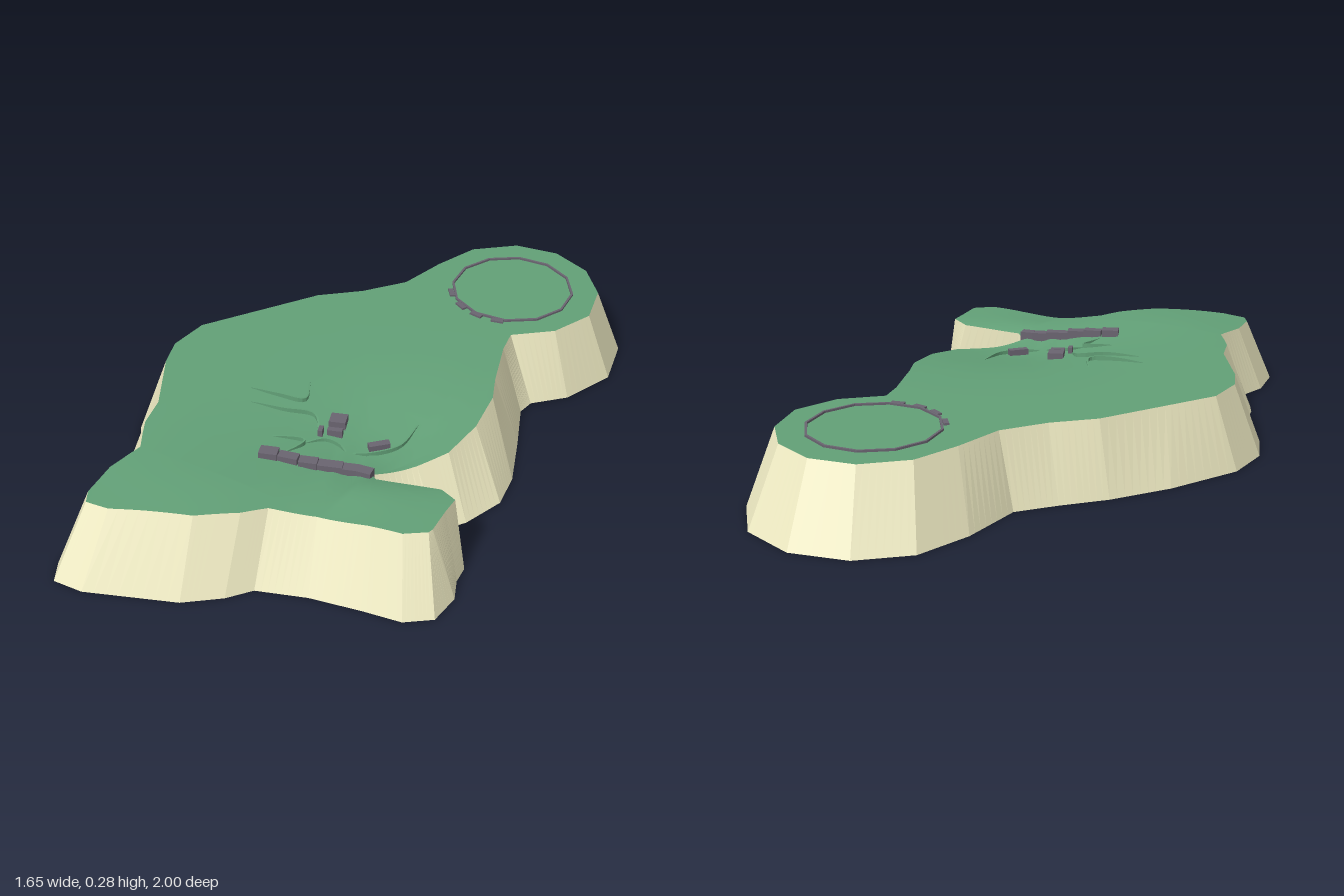
import * as THREE from 'three';
import { mergeVertices } from 'three/addons/utils/BufferGeometryUtils.js';

// Plateau rim and ground outline, matching x, z pairs, clockwise from above
const RIM = [
  .40, -.89, .555, -.86, .675, -.755, .73, -.61, .71, -.45, .60, -.33, .45, -.275, .435, -.185,
  .43, 0, .435, .1, .40, .25, .33, .38, .24, .45, .11, .535, .13, .57, .34, .60,
  .39, .65, .37, .71, .345, .80, .335, .815, .26, .835, .15, .81, -.01, .785, -.16, .79,
  -.235, .835, -.37, .88, -.635, .885, -.715, .86, -.725, .81, -.695, .69, -.63, .58, -.645, .51,
  -.655, .45, -.645, .34, -.69, .105, -.69, 0, -.63, -.13, -.47, -.25, -.27, -.40, -.115, -.46,
  .03, -.55, .13, -.70, .24, -.83];
const FOOT = [
  .40, -1, .60, -.97, .76, -.84, .825, -.65, .80, -.455, .665, -.30, .54, -.24, .51, -.185,
  .52, 0, .525, .2, .50, .33, .405, .45, .32, .51, .165, .565, .17, .58, .40, .598,
  .43, .67, .415, .73, .42, .81, .375, .91, .28, .94, .15, .915, -.02, .89, -.19, .89,
  -.27, .94, -.40, .985, -.71, .995, -.81, .965, -.825, .885, -.79, .74, -.71, .635, -.75, .53,
  -.755, .47, -.735, .34, -.785, .16, -.785, .015, -.71, -.14, -.50, -.32, -.31, -.44, -.155, -.51,
  -.02, -.58, .085, -.78, .215, -.935];
const STEPS = 8;

const toPoints = (a) => Array.from({ length: a.length / 2 }, (_, i) => new THREE.Vector2(a[2 * i], a[2 * i + 1]));
const bump = (x, z, cx, cz, sx, sz) => Math.exp(-(((x - cx) / sx) ** 2) - ((z - cz) / sz) ** 2);

// Ground height: level plateau with a hollow beside the inlet and gentle swells
function height(x, z) {
  return 0.26
    - 0.056 * bump(x, z, 0.14, 0.46, 0.32, z > 0.46 ? 0.12 : 0.3)
    - 0.022 * bump(x, z, 0, 0.8, 0.16, 0.16)
    - 0.014 * bump(x, z, -0.75, 0.85, 0.15, 0.3)
    + 0.01 * bump(x, z, -0.43, 0.72, 0.2, 0.2);
}

function geometryFrom(positions) {
  const g = new THREE.BufferGeometry();
  g.setAttribute('position', new THREE.Float32BufferAttribute(positions, 3));
  g.computeVertexNormals();
  return g;
}

// Triangles filling an outline, wound to face up
function fill(points) {
  return THREE.ShapeUtils.triangulateShape(points, []).map((t) => {
    const [a, b, c] = t.map((i) => points[i]);
    const area = (b.x - a.x) * (c.y - a.y) - (b.y - a.y) * (c.x - a.x);
    return area > 0 ? [a, c, b] : [a, b, c];
  });
}

// Plateau surface: each triangle is subdivided and lifted to the ground height
function grassGeometry(rim) {
  const out = [];
  for (const [a, b, c] of fill(rim)) {
    const put = (i, j) => {
      const u = i / STEPS, v = j / STEPS;
      const x = a.x + (b.x - a.x) * u + (c.x - a.x) * v;
      const z = a.y + (b.y - a.y) * u + (c.y - a.y) * v;
      out.push(x, height(x, z), z);
    };
    for (let i = 0; i < STEPS; i++) {
      for (let j = 0; j < STEPS - i; j++) {
        put(i, j); put(i + 1, j); put(i, j + 1);
        if (i + j < STEPS - 1) { put(i + 1, j); put(i + 1, j + 1); put(i, j + 1); }
      }
    }
  }
  const g = geometryFrom(out);
  g.deleteAttribute('normal');
  const smooth = mergeVertices(g, 1e-4);
  smooth.computeVertexNormals();
  return smooth;
}

// Sloping cliff between the rim and the ground outline
function cliffGeometry(rim, foot) {
  const out = [];
  rim.forEach((p, i) => {
    const n = (i + 1) % rim.length;
    for (let s = 0; s < STEPS; s++) {
      const [t0, t1] = [s, s + 1].map((k) => p.clone().lerp(rim[n], k / STEPS));
      const [f0, f1] = [s, s + 1].map((k) => foot[i].clone().lerp(foot[n], k / STEPS));
      const a = [t0.x, height(t0.x, t0.y), t0.y], b = [t1.x, height(t1.x, t1.y), t1.y];
      const c = [f1.x, 0, f1.y], d = [f0.x, 0, f0.y];
      out.push(...a, ...b, ...c, ...a, ...c, ...d);
    }
  });
  return geometryFrom(out);
}

// Low, thin bank that follows a path and tapers to its ends
function bankGeometry(coords, rise) {
  const curve = new THREE.CatmullRomCurve3(toPoints(coords).map((p) => new THREE.Vector3(p.x, 0, p.y)));
  const N = 16, out = [], rings = [];
  for (let i = 0; i <= N; i++) {
    const p = curve.getPoint(i / N), t = curve.getTangent(i / N);
    const y = height(p.x, p.z), top = y + 0.002 + rise * Math.sin(Math.PI * i / N);
    rings.push([[-1, y - 0.01], [-1, top], [1, top], [1, y - 0.01]]
      .map(([side, h]) => [p.x - t.z * side * 0.003, h, p.z + t.x * side * 0.003]));
  }
  for (let i = 0; i < N; i++) {
    for (let k = 0; k < 3; k++) {
      const [a, b, c, d] = [rings[i][k], rings[i][k + 1], rings[i + 1][k + 1], rings[i + 1][k]];
      out.push(...a, ...b, ...c, ...a, ...c, ...d);
    }
  }
  return geometryFrom(out);
}

export function createModel() {
  const group = new THREE.Group();
  const grass = new THREE.MeshStandardMaterial({ color: 0x62a077 });
  const sand = new THREE.MeshStandardMaterial({ color: 0xf0ecc4, flatShading: true });
  const stone = new THREE.MeshStandardMaterial({ color: 0x6a6470, flatShading: true });
  const earth = new THREE.MeshStandardMaterial({ color: 0x62a077, flatShading: true, side: THREE.DoubleSide });
  const rim = toPoints(RIM), foot = toPoints(FOOT);
  const add = (name, geometry, material) => {
    const mesh = new THREE.Mesh(geometry, material);
    mesh.name = name;
    group.add(mesh);
    return mesh;
  };

  add('grassTop', grassGeometry(rim), grass);
  add('cliff', cliffGeometry(rim, foot), sand);
  const base = fill(foot).flatMap(([a, b, c]) => [a.x, 0, a.y, c.x, 0, c.y, b.x, 0, b.y]);
  add('underside', geometryFrom(base), sand);

  // Twelve-sided ring wall on the rear knoll, with small studs on its inland side
  const cx = 0.42, cz = -0.575;
  const profile = [[.214, .25], [.222, .25], [.222, .267], [.214, .267], [.214, .25]]
    .map(([r, y]) => new THREE.Vector2(r, y));
  add('ringWall', new THREE.LatheGeometry(profile, 12), stone).position.set(cx, 0, cz);
  for (const deg of [97, 118, 138, 162]) {
    const a = THREE.MathUtils.degToRad(deg);
    const stud = add('ringStud', new THREE.BoxGeometry(0.018, 0.02, 0.045), stone);
    stud.position.set(cx + 0.225 * Math.cos(a), 0.257, cz + 0.225 * Math.sin(a));
    stud.rotation.y = -a;
  }

  // Stone blocks: x, z, width, depth, turn
  const block = (name, [x, z, w, d, turn = 0]) => {
    const mesh = add(name, new THREE.BoxGeometry(w, 0.04, d), stone);
    mesh.position.set(x, height(x, z) + 0.004, z);
    mesh.rotation.y = turn;
  };
  [[-.22, .54, .06, .042], [-.155, .545, .065, .034, -.12], [-.09, .55, .06, .036],
    [-.02, .546, .08, .036], [.045, .545, .06, .036], [.09, .55, .05, .036, -.2]]
    .forEach((b) => block('damBlock', b));
  [[-.045, .305, .055, .05], [-.045, .36, .05, .02], [-.09, .37, .015, .03], [.105, .385, .07, .025, .45]]
    .forEach((b) => block('ruinBlock', b));

  // Low banks around the hollow
  [[-.365, .20, -.26, .225, -.175, .23, -.18, .13], [-.345, .275, -.23, .295, -.127, .295, -.095, .37],
    [-.235, .43, -.13, .43, -.19, .52], [-.13, .43, -.07, .40, -.02, .41, .01, .435],
    [.01, .435, .09, .42, .17, .37, .21, .26]]
    .forEach((path) => add('bank', bankGeometry(path, 0.014), earth));
  return group;
}
